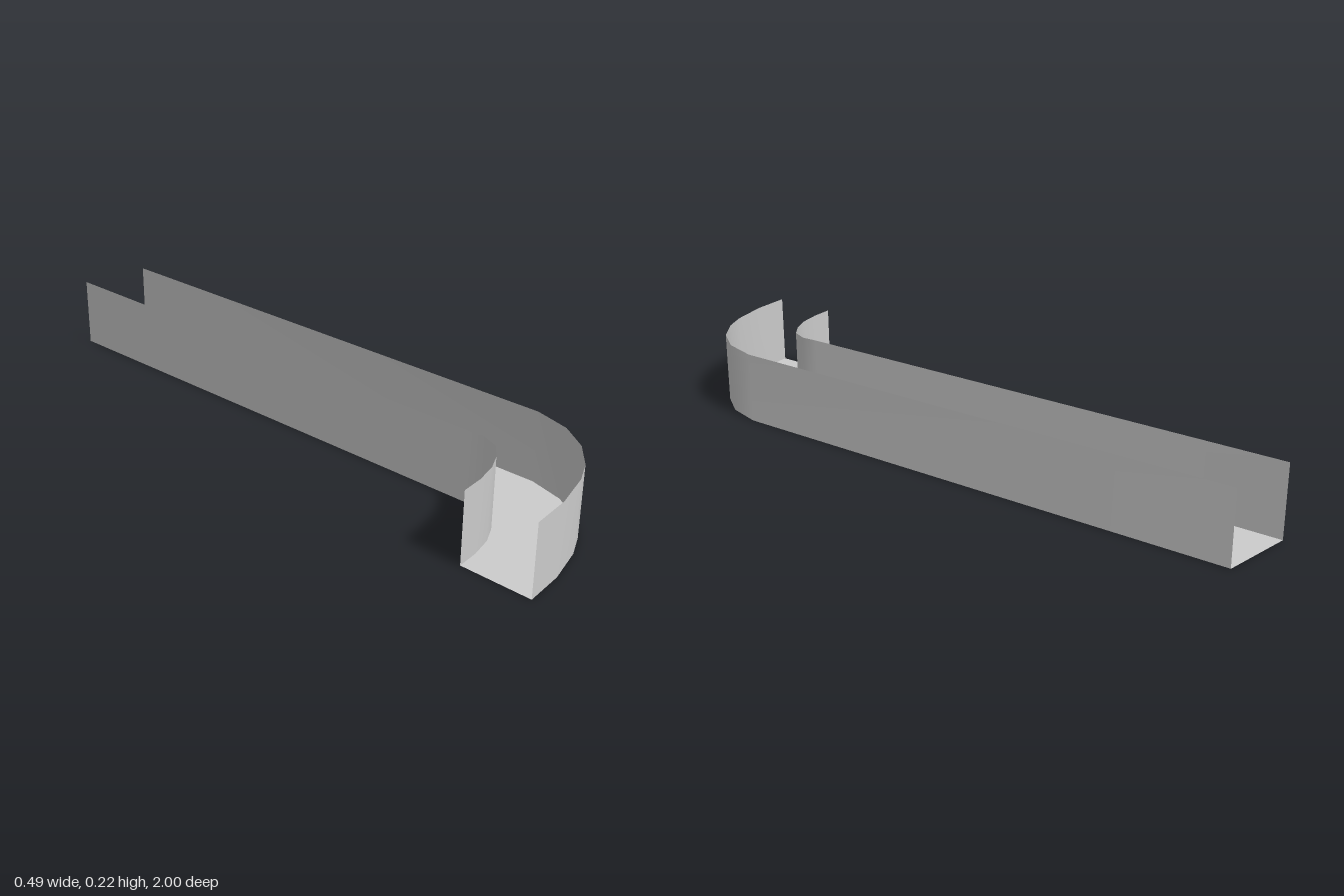
import * as THREE from 'three';

const HEIGHT = 0.216;

// Plan outlines as [x, z], from the slanted far end round the bend
const OUTER = [[0.243, -0.963], [0.243, 0.67], [0.212, 0.78], [0.152, 0.865],
  [0.072, 0.927], [0, 0.96], [-0.12, 0.99], [-0.243, 1]];
const INNER = [[0.025, -1], [0.021, 0.6], [0.024, 0.65], [0.002, 0.702],
  [-0.045, 0.738], [-0.1, 0.764], [-0.17, 0.779], [-0.24, 0.784]];

// Upright thin sheet following a plan outline
function wallGeometry(outline) {
  const positions = [], index = [];
  outline.forEach(([x, z], i) => {
    positions.push(x, 0, z, x, HEIGHT, z);
    if (i === 0) return;
    const a = 2 * (i - 1);
    index.push(a, a + 1, a + 2, a + 1, a + 3, a + 2);
  });
  const geometry = new THREE.BufferGeometry();
  geometry.setAttribute('position', new THREE.Float32BufferAttribute(positions, 3));
  geometry.setIndex(index);
  geometry.computeVertexNormals();
  return geometry;
}

export function createModel() {
  const group = new THREE.Group();
  group.name = 'bentChannel';
  const material = new THREE.MeshStandardMaterial({ color: 0xcccccc, side: THREE.DoubleSide });
  const add = (name, geometry) => {
    const mesh = new THREE.Mesh(geometry, material);
    mesh.name = name;
    group.add(mesh);
  };

  // Side walls
  add('outerWall', wallGeometry(OUTER));
  add('innerWall', wallGeometry(INNER));

  // Flat floor between the walls; top and both ends stay open
  const outline = [...OUTER, ...[...INNER].reverse()];
  const shape = new THREE.Shape(outline.map(([x, z]) => new THREE.Vector2(x, -z)));
  add('floor', new THREE.ShapeGeometry(shape).rotateX(-Math.PI / 2));

  return group;
}
